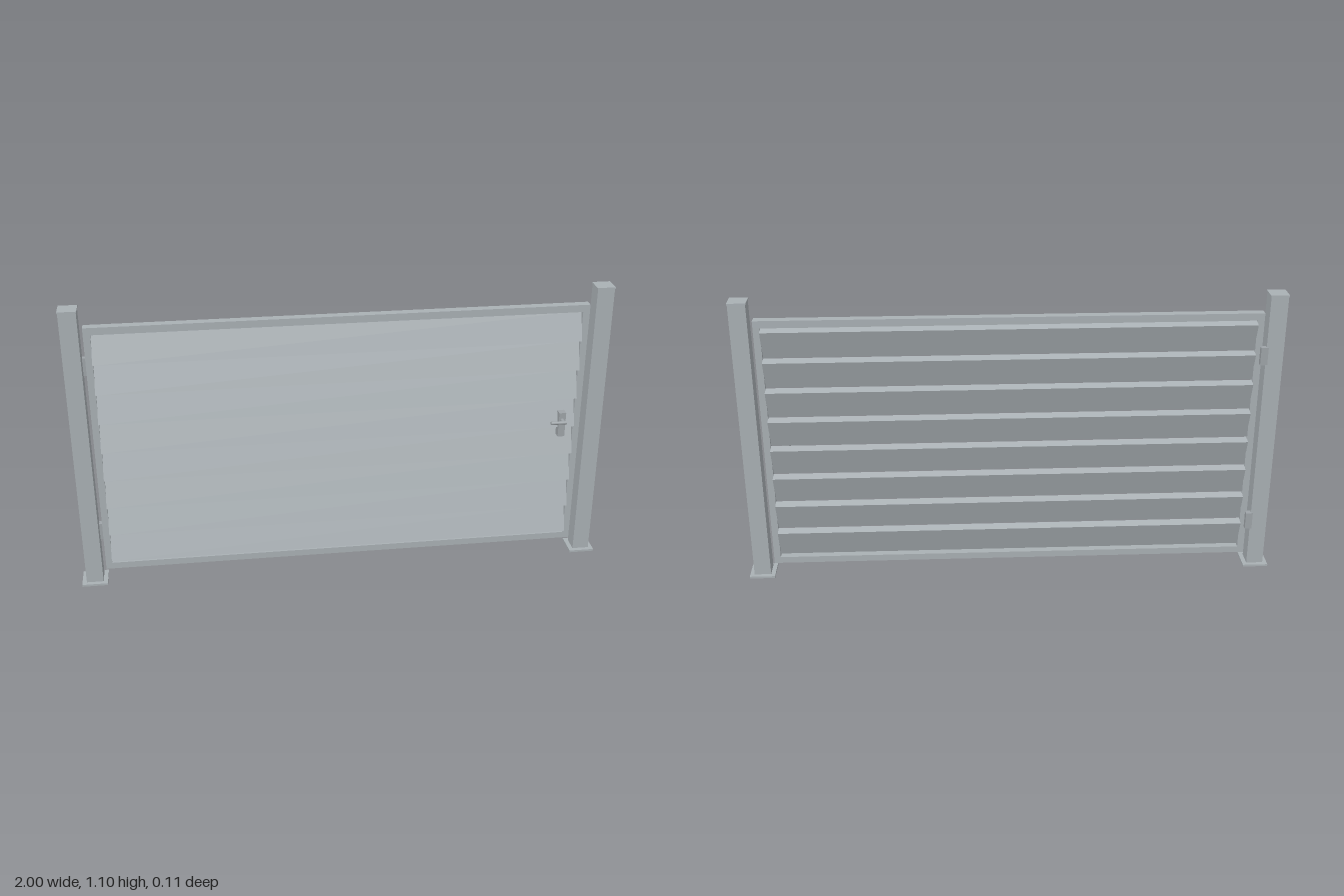
import * as THREE from 'three';

export function createModel() {
  const gate = new THREE.Group();
  gate.name = 'slattedGate';
  const metal = new THREE.MeshStandardMaterial({ color: 0xa9b0b4 });
  metal.name = 'paintedMetal';
  const hardware = new THREE.MeshStandardMaterial({ color: 0x9ea4a8 });
  hardware.name = 'hardwareMetal';

  const add = (name, geometry, material, x, y, z) => {
    const mesh = new THREE.Mesh(geometry, material);
    mesh.name = name;
    mesh.position.set(x, y, z);
    gate.add(mesh);
    return mesh;
  };
  // Box given by its limits on each axis
  const box = (name, material, [x0, x1], [y0, y1], [z0, z1]) =>
    add(name, new THREE.BoxGeometry(x1 - x0, y1 - y0, z1 - z0), material,
      (x0 + x1) / 2, (y0 + y1) / 2, (z0 + z1) / 2);

  // Posts with base plates and thin caps
  const postZ = -0.009;
  for (const [side, s] of [['left', 1], ['right', -1]]) {
    const square = (part, half, y) => box(side + part, metal,
      [s * 0.952 - half, s * 0.952 + half], y, [postZ - half, postZ + half]);
    square('BasePlate', 0.048, [0, 0.008]);
    square('Post', 0.0315, [0.008, 1.094]);
    square('PostCap', 0.0335, [1.094, 1.1]);
  }

  // Gate frame
  const frameZ = [-0.029, 0.003];
  box('topRail', metal, [-0.907, 0.905], [1.003, 1.03], frameZ);
  box('bottomRail', metal, [-0.907, 0.905], [0.05, 0.075], frameZ);
  box('rightStile', metal, [-0.907, -0.882], [0.075, 1.003], frameZ);
  box('leftStile', metal, [0.88, 0.905], [0.075, 1.003], frameZ);

  // Tilted louvre slats, lower edge to the front
  const slat = new THREE.BoxGeometry(1.764, 0.111, 0.03);
  for (let i = 0; i < 8; i++) {
    add('slat' + (i + 1), slat, metal, -0.001, 0.1375 + i * 0.115, -0.013)
      .rotation.x = -THREE.MathUtils.degToRad(18);
  }

  // Hinges between the post and the frame
  for (const [name, y] of [['lowerHinge', 0.198], ['upperHinge', 0.872]]) {
    box(name, hardware, [-0.926, -0.9], [y - 0.033, y + 0.033], [-0.048, -0.027]);
  }

  // Door handle: plate, spindle and lever
  box('handlePlate', hardware, [0.816, 0.842], [0.515, 0.612], [0, 0.029]);
  add('handleSpindle', new THREE.CylinderGeometry(0.007, 0.007, 0.03, 16), hardware, 0.829, 0.583, 0.038)
    .rotation.x = Math.PI / 2;
  add('handleLever', new THREE.CylinderGeometry(0.0065, 0.0065, 0.06, 16), hardware, 0.809, 0.583, 0.051)
    .rotation.z = Math.PI / 2;

  return gate;
}
